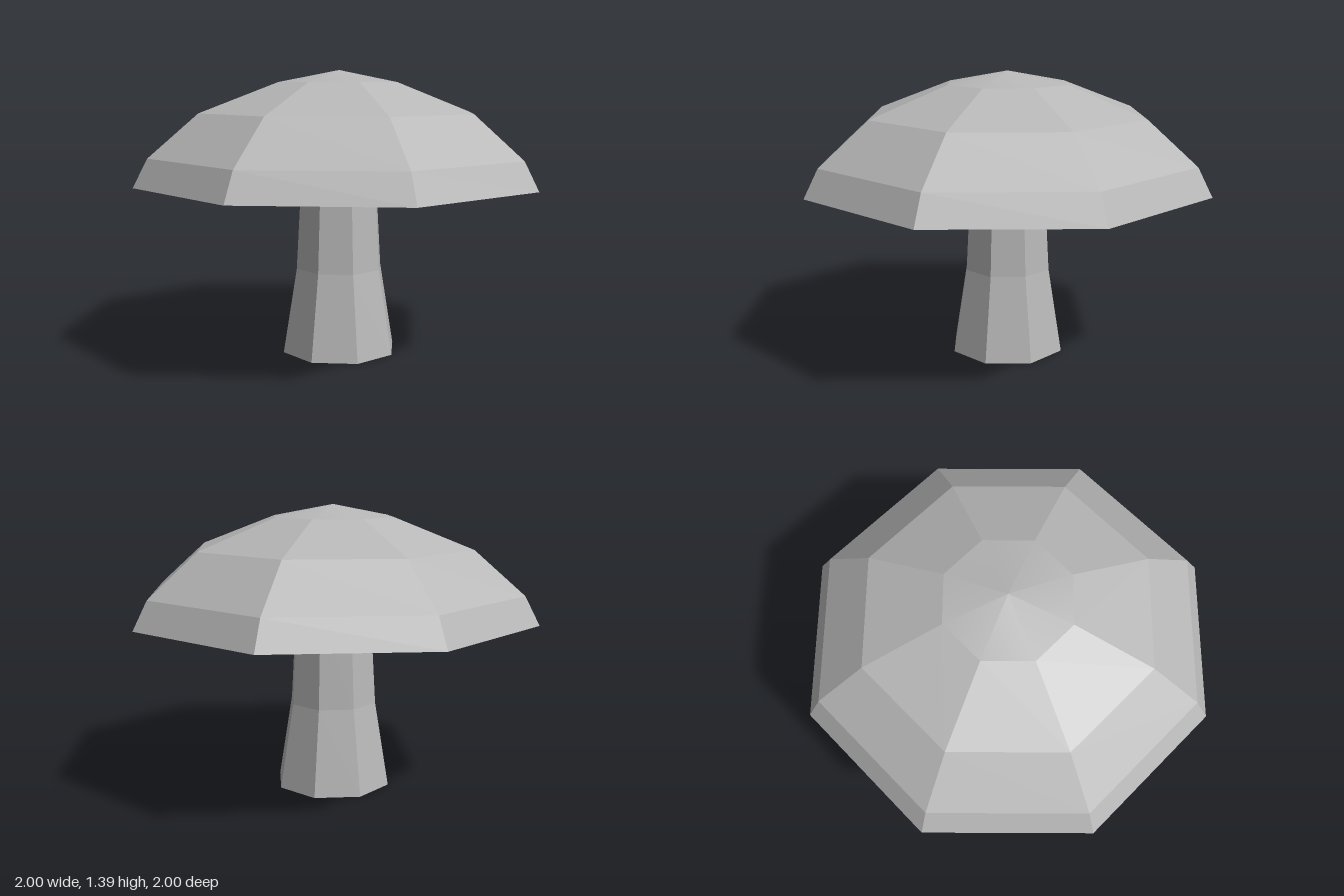
import * as THREE from 'three';

const SIDES = 8;

// Faceted eight-sided turned solid; profile runs from bottom to top
function facetedLathe(profile) {
  const points = profile.map(([r, y]) => new THREE.Vector2(r, y));
  const geometry = new THREE.LatheGeometry(points, SIDES).toNonIndexed();
  geometry.computeVertexNormals();
  return geometry;
}

export function createModel() {
  const group = new THREE.Group();
  group.name = 'mushroom';
  const grey = new THREE.MeshStandardMaterial({ color: 0xb8b8b8 });
  grey.name = 'grey';

  const add = (name, geometry, y = 0) => {
    const mesh = new THREE.Mesh(geometry, grey);
    mesh.name = name;
    mesh.position.y = y;
    group.add(mesh);
  };

  // Stem flaring towards the closed foot
  add('stem', facetedLathe([[0, 0], [0.29, 0], [0.22, 0.42], [0.195, 0.85]]));

  // Flat underside and three faceted bands
  add('cap', facetedLathe([[0, 0.85], [1, 0.85], [0.93, 0.985], [0.69, 1.19], [0.305, 1.335]]));

  // Shallow crown with soft shading
  const crownHeight = 0.058;
  add('capCrown', new THREE.ConeGeometry(0.305, crownHeight, SIDES, 1, true), 1.335 + crownHeight / 2);

  return group;
}
